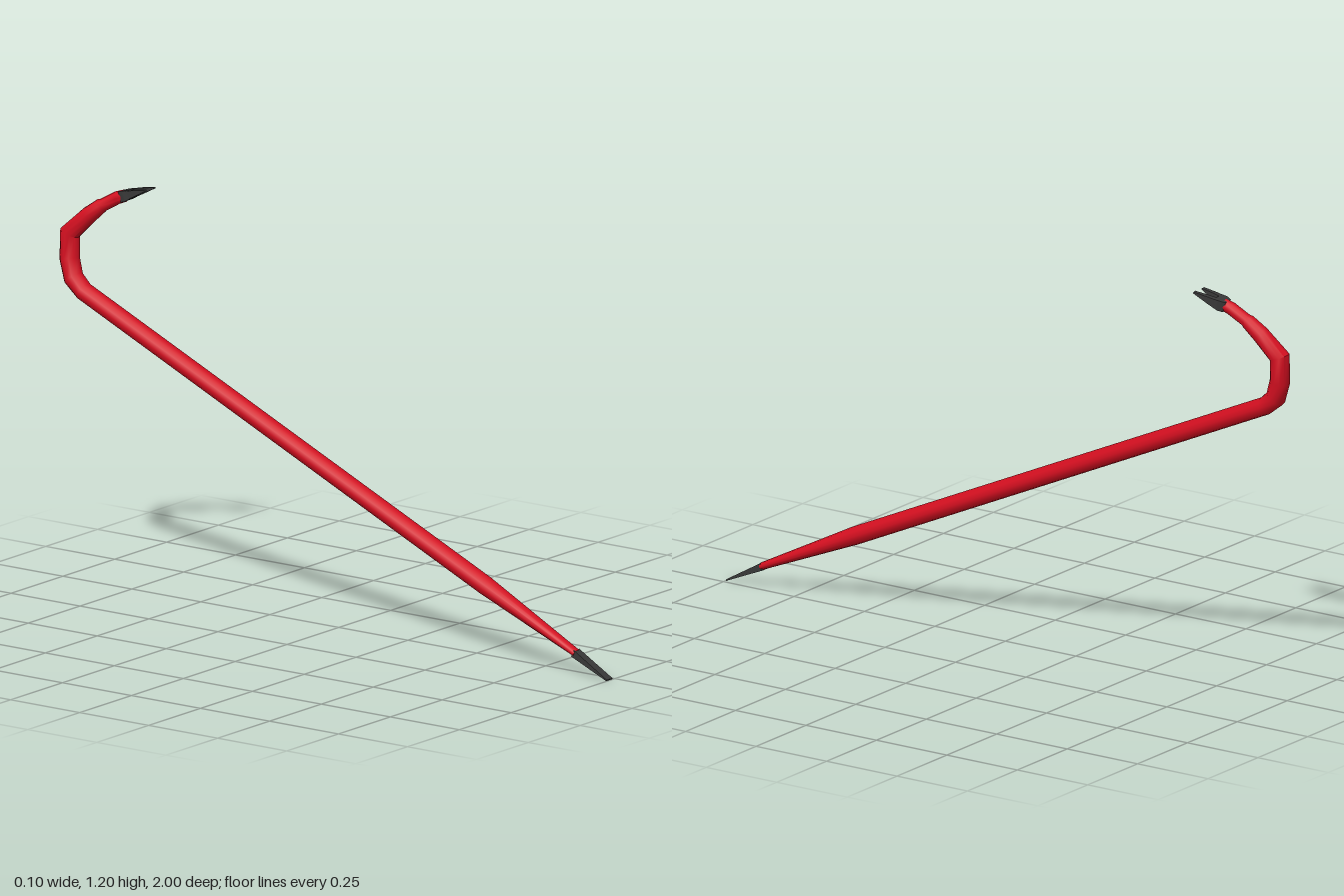
import * as THREE from 'three';
import { toCreasedNormals } from 'three/addons/utils/BufferGeometryUtils.js';

// Sweeps an elliptical (or, with 4 sides, rectangular) section through
// stations [x, y, z, halfWidth, halfThickness], capped at both ends.
function loft(stations, sides, crease) {
  const centres = stations.map(([x, y, z]) => new THREE.Vector3(x, y, z));
  const last = stations.length - 1;
  const box = sides === 4;
  const positions = [];
  const index = [];
  stations.forEach(([, , , hw, ht], i) => {
    const dir = (a, b) => centres[b].clone().sub(centres[a]).normalize();
    const tangent = new THREE.Vector3();
    if (i > 0) tangent.add(dir(i - 1, i));
    if (i < last) tangent.add(dir(i, i + 1));
    tangent.normalize();
    const side = new THREE.Vector3(1, 0, 0);
    side.addScaledVector(tangent, -side.dot(tangent)).normalize();
    const up = tangent.clone().cross(side);
    const grow = box ? Math.SQRT2 : 1;
    for (let j = 0; j < sides; j++) {
      const a = ((j + (box ? 0.5 : 0)) / sides) * Math.PI * 2;
      const p = centres[i].clone()
        .addScaledVector(side, Math.cos(a) * hw * grow)
        .addScaledVector(up, Math.sin(a) * ht * grow);
      positions.push(p.x, p.y, p.z);
    }
  });
  for (let i = 0; i < last; i++) {
    for (let j = 0; j < sides; j++) {
      const a = i * sides + j;
      const b = i * sides + ((j + 1) % sides);
      index.push(a, b, b + sides, a, b + sides, a + sides);
    }
  }
  const end = last * sides;
  for (let j = 1; j < sides - 1; j++) {
    index.push(0, j + 1, j, end, end + j, end + j + 1);
  }
  const geometry = new THREE.BufferGeometry();
  geometry.setAttribute('position', new THREE.Float32BufferAttribute(positions, 3));
  geometry.setIndex(index);
  return toCreasedNormals(geometry, crease);
}

export function createModel() {
  const group = new THREE.Group();
  const red = new THREE.MeshStandardMaterial({ color: 0xd40f20 });
  const steel = new THREE.MeshStandardMaterial({ color: 0x383838 });
  const add = (name, stations, sides, material) => {
    const mesh = new THREE.Mesh(loft(stations, sides, 0.75), material);
    mesh.name = name;
    group.add(mesh);
  };

  // Painted bar: tapered foot, long straight shaft, twisted hook
  add('bar', [
    [-0.025, 0.063, 0.88, 0.016, 0.011],
    [-0.025, 0.215, 0.55, 0.030, 0.027],
    [-0.025, 0.872, -0.905, 0.030, 0.027],
    [-0.021, 0.905, -0.945, 0.030, 0.030],
    [-0.015, 0.960, -0.964, 0.030, 0.030],
    [-0.008, 1.035, -0.968, 0.029, 0.031],
    [-0.002, 1.094, -0.905, 0.025, 0.026],
    [0.004, 1.127, -0.865, 0.022, 0.022],
    [0.005, 1.131, -0.858, 0.019, 0.019],
    [0.011, 1.159, -0.81, 0.019, 0.019],
    [0.014, 1.168, -0.785, 0.018, 0.018],
  ], 12, red);

  // Bare steel chisel at the foot
  add('chiselTip', [
    [-0.025, 0.064, 0.875, 0.013, 0.011],
    [-0.025, 0.002, 0.999, 0.014, 0.002],
  ], 4, steel);

  // Bare steel claw: a palm with two tapered prongs
  add('clawPalm', [
    [0.013, 1.165, -0.795, 0.016, 0.016],
    [0.015, 1.170, -0.78, 0.023, 0.016],
    [0.018, 1.177, -0.762, 0.024, 0.013],
  ], 4, steel);
  for (const s of [-1, 1]) {
    add(s < 0 ? 'rightProng' : 'leftProng', [
      [0.016 + s * 0.015, 1.172, -0.775, 0.009, 0.014],
      [0.019 + s * 0.018, 1.183, -0.745, 0.008, 0.010],
      [0.022 + s * 0.022, 1.198, -0.701, 0.006, 0.002],
    ], 4, steel);
  }

  return group;
}
